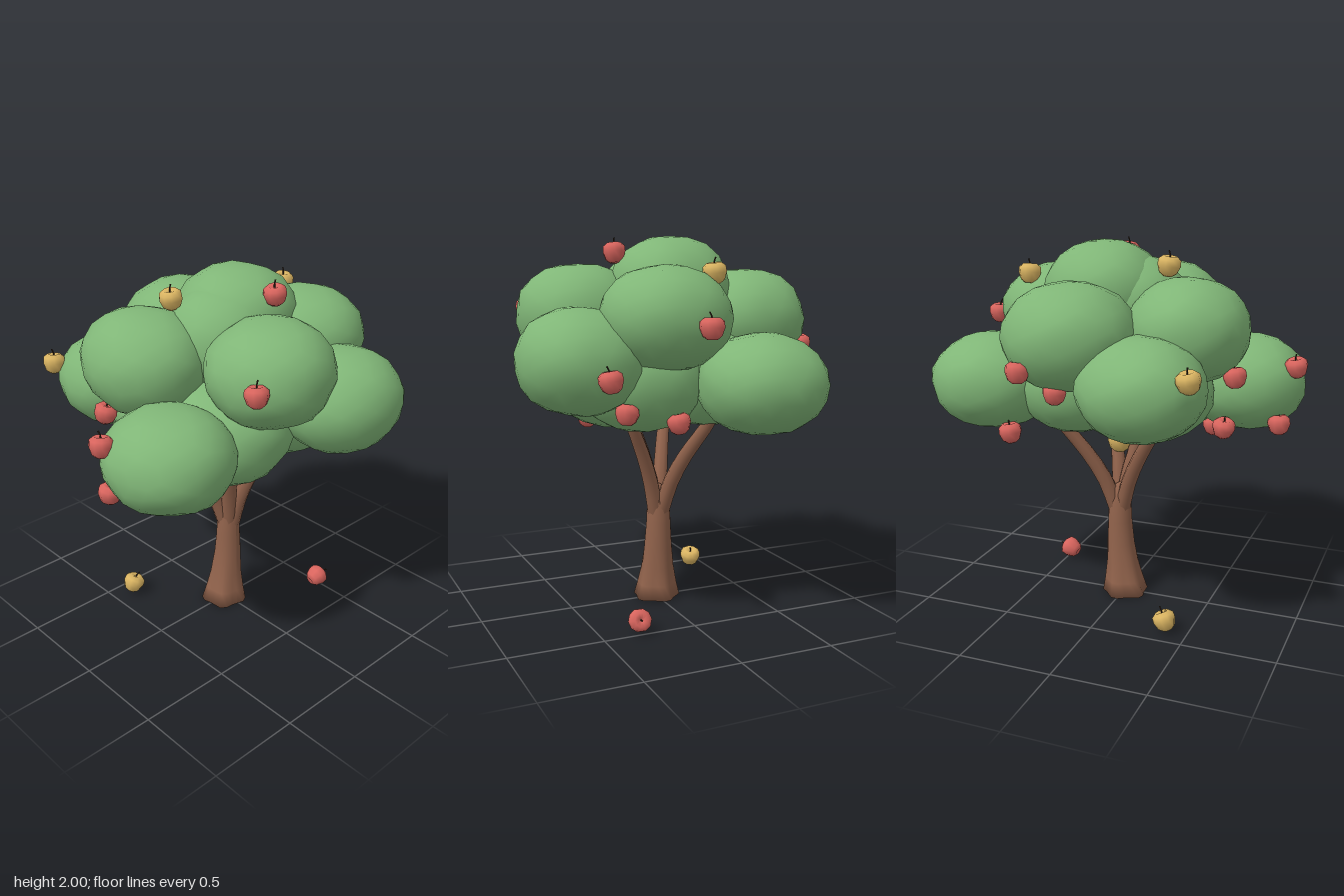
import * as THREE from 'three';
import { mergeVertices } from 'three/addons/utils/BufferGeometryUtils.js';

const mat = (name, color) => {
  const m = new THREE.MeshStandardMaterial({ color });
  m.name = name;
  return m;
};

// Lumpy, slightly boxy clump of leaves; the seed varies its dents
function clumpGeometry(rx, ry, rz, seed) {
  const base = new THREE.IcosahedronGeometry(1, 3);
  base.deleteAttribute('uv');
  base.deleteAttribute('normal');
  const geo = mergeVertices(base, 1e-4);
  const p = geo.attributes.position;
  const v = new THREE.Vector3();
  const e = 2.1;
  for (let i = 0; i < p.count; i++) {
    v.fromBufferAttribute(p, i);
    const box = (Math.abs(v.x) ** e + Math.abs(v.y) ** e + Math.abs(v.z) ** e) ** (-1 / e);
    const low = Math.sin(3.1 * v.x + seed * 1.7) * Math.sin(2.9 * v.z + seed * 2.3);
    const high = Math.sin(6.3 * v.y + 4.3 * v.x + seed) * Math.cos(6.1 * v.z - 2 * v.y - seed);
    const k = box * (1 + 0.012 * low + 0.022 * high);
    p.setXYZ(i, v.x * rx * k, v.y * ry * k, v.z * rz * k);
  }
  geo.computeVertexNormals();
  return geo;
}

// Tapered limb: rings swept along a curve
function limbGeometry(points, r0, r1) {
  const curve = new THREE.CatmullRomCurve3(points.map((a) => new THREE.Vector3(...a)));
  const rings = 8, sides = 8;
  const geo = new THREE.TubeGeometry(curve, rings, 1, sides, false);
  const p = geo.attributes.position;
  const v = new THREE.Vector3();
  for (let i = 0; i <= rings; i++) {
    const c = curve.getPointAt(i / rings);
    const r = r0 + (r1 - r0) * (i / rings);
    for (let j = 0; j <= sides; j++) {
      const k = i * (sides + 1) + j;
      v.fromBufferAttribute(p, k).sub(c).multiplyScalar(r).add(c);
      p.setXYZ(k, v.x, v.y, v.z);
    }
  }
  return geo;
}

// Trunk with a flared, root-lobed foot and a slight lean
function trunkGeometry() {
  const profile = [[0, 0], [0.122, 0], [0.105, 0.08], [0.088, 0.18], [0.077, 0.3], [0.068, 0.43], [0.063, 0.55], [0.045, 0.63], [0, 0.66]];
  const geo = new THREE.LatheGeometry(profile.map(([r, y]) => new THREE.Vector2(r, y)), 20);
  const p = geo.attributes.position;
  for (let i = 0; i < p.count; i++) {
    const y = p.getY(i);
    const a = Math.atan2(p.getZ(i), p.getX(i));
    const lobe = 1 + 0.1 * Math.max(0, 1 - y / 0.3) * Math.cos(5 * a + 0.6);
    p.setX(i, p.getX(i) * lobe - 0.008 + 0.032 * Math.min(1, y / 0.35));
    p.setZ(i, p.getZ(i) * lobe - 0.005);
  }
  geo.computeVertexNormals();
  return geo;
}

export function createModel() {
  const leaf = mat('leaf green', 0x80b677);
  const bark = mat('bark brown', 0x90624b);
  const red = mat('apple red', 0xdb665f);
  const yellow = mat('apple yellow', 0xdcb663);
  const stemBrown = mat('stem brown', 0x3b2a1e);

  const tree = new THREE.Group();
  tree.name = 'appleTree';
  const add = (parent, name, geo, material) => {
    const m = new THREE.Mesh(geo, material);
    m.name = name;
    parent.add(m);
    return m;
  };

  // Trunk and four branches, outward ends hidden in the crown
  add(tree, 'trunk', trunkGeometry(), bark);
  const ends = [[-0.22, -0.15], [-0.08, 0.11], [0.13, 0.19], [0.29, -0.16]];
  ends.forEach(([x, z], i) => {
    const dx = x - 0.025;
    const path = [
      [0.025 + dx * 0.06, 0.5, z * 0.08],
      [0.025 + dx * 0.28, 0.68, z * 0.3],
      [0.025 + dx * 0.62, 0.85, z * 0.63],
      [x, 1.0, z],
      [0.025 + dx * 1.35, 1.16, z * 1.3],
    ];
    add(tree, 'branch' + (i + 1), limbGeometry(path, 0.047, 0.03), bark);
  });

  // Crown: centre x, y, z and half sizes of each clump
  const crown = new THREE.Group();
  crown.name = 'crown';
  tree.add(crown);
  const clumps = [
    [0.1, 1.73, -0.03, 0.32, 0.27, 0.32],
    [-0.03, 1.65, 0.01, 0.32, 0.28, 0.29],
    [-0.41, 1.57, -0.17, 0.31, 0.27, 0.34],
    [0.11, 1.56, -0.47, 0.335, 0.27, 0.33],
    [-0.09, 1.59, 0.41, 0.325, 0.27, 0.325],
    [0.43, 1.59, 0.14, 0.325, 0.265, 0.33],
    [0.29, 1.38, 0.54, 0.335, 0.27, 0.32],
    [-0.61, 1.24, 0.25, 0.325, 0.26, 0.33],
    [0.63, 1.265, -0.3, 0.33, 0.255, 0.325],
    [-0.3, 1.34, -0.55, 0.32, 0.255, 0.31],
    [0.21, 1.27, 0.18, 0.35, 0.275, 0.34],
    [-0.18, 1.23, 0.17, 0.36, 0.275, 0.36],
    [0.18, 1.27, -0.19, 0.34, 0.27, 0.34],
    [-0.2, 1.25, -0.18, 0.34, 0.27, 0.34],
  ];
  clumps.forEach(([x, y, z, rx, ry, rz], i) => {
    add(crown, 'leafClump' + (i + 1), clumpGeometry(rx, ry, rz, i + 1), leaf).position.set(x, y, z);
  });

  // Apples: lathed body with a dimple at both ends, and a thin bent stem
  const body = new THREE.LatheGeometry(
    [[0, -0.042], [0.024, -0.053], [0.046, -0.036], [0.06, 0.002], [0.058, 0.032], [0.036, 0.05], [0.012, 0.043], [0, 0.03]]
      .map(([r, y]) => new THREE.Vector2(r, y)), 10);
  const stem = new THREE.TubeGeometry(new THREE.CatmullRomCurve3(
    [[0, 0.03, 0], [0.002, 0.055, 0], [0.012, 0.076, 0]].map((a) => new THREE.Vector3(...a))), 4, 0.004, 5);
  const addApple = (name, material, [x, y, z, tiltX = 0, tiltZ = 0], i) => {
    const apple = new THREE.Group();
    apple.name = name + (i + 1);
    add(apple, 'appleBody', body, material);
    add(apple, 'appleStem', stem, stemBrown);
    apple.position.set(x, y, z);
    apple.rotation.set(tiltX || 0.15 * Math.sin(i * 2.1), i * 1.3, tiltZ || 0.15 * Math.cos(i * 1.7), 'ZXY');
    tree.add(apple);
  };
  const reds = [
    [0.08, 1.91, 0.27], [0.26, 1.42, -0.745], [-0.91, 1.36, 0.12], [0.78, 1.56, 0.06],
    [0.67, 1.32, 0.52], [-0.38, 1.61, 0.61], [-0.44, 0.97, 0.24], [0.49, 1.07, 0.09],
    [0.47, 1.13, 0.36], [0.45, 1.03, -0.48], [-0.84, 1.06, 0.07], [-0.58, 1.05, -0.07],
    [0.14, 1.29, -0.59], [-0.66, 1.35, -0.18], [0.47, 0.067, 0.3, 0.1, -1.2],
  ];
  const yellows = [
    [-0.28, 1.88, -0.1], [0.51, 1.81, -0.09], [-0.59, 1.44, -0.73],
    [-0.17, 1.06, -0.5], [-0.38, 0.067, -0.4, 0.1, -0.4],
  ];
  reds.forEach((a, i) => addApple('redApple', red, a, i));
  yellows.forEach((a, i) => addApple('yellowApple', yellow, a, i));
  return tree;
}
